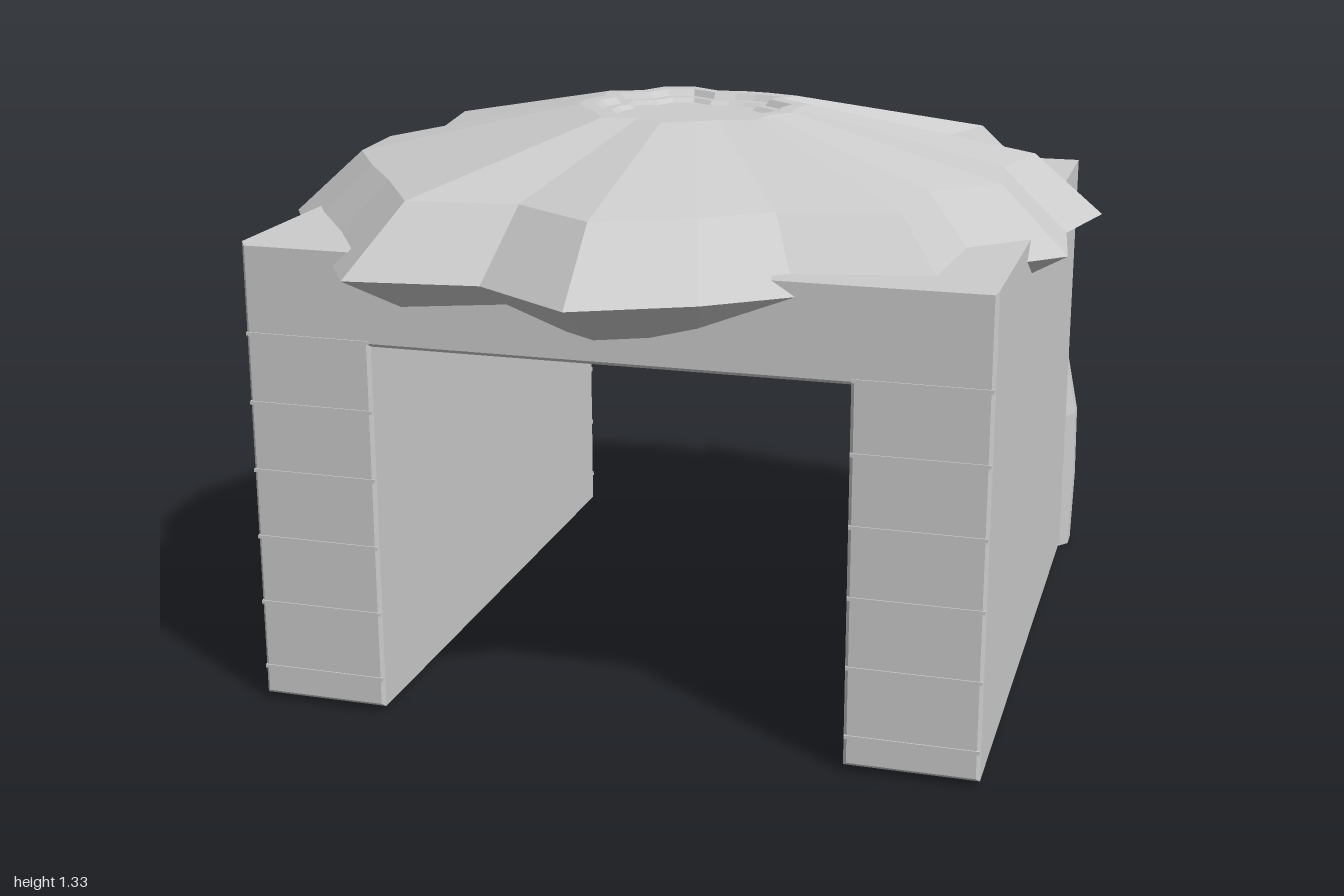
import * as THREE from 'three';

const material = new THREE.MeshStandardMaterial({ color: 0xcccccc, flatShading: true });

function add(parent, geometry, name, x = 0, y = 0, z = 0) {
  const mesh = new THREE.Mesh(geometry, material);
  mesh.name = name;
  mesh.position.set(x, y, z);
  parent.add(mesh);
  return mesh;
}

// Skin a list of closed rings (arrays of Vector3, same length) into a flat-shaded surface
function loft(rings) {
  const pos = [];
  const push = (...vs) => vs.forEach((v) => pos.push(v.x, v.y, v.z));
  const n = rings[0].length;
  for (let k = 0; k < rings.length - 1; k++) {
    for (let i = 0; i < n; i++) {
      const j = (i + 1) % n, a = rings[k], b = rings[k + 1];
      push(a[i], a[j], b[j], a[i], b[j], b[i]);
    }
  }
  const g = new THREE.BufferGeometry();
  g.setAttribute('position', new THREE.Float32BufferAttribute(pos, 3));
  g.computeVertexNormals();
  return g;
}

// Gateway: two thick walls joined by a roof slab, with slightly bevelled edges
function gateway() {
  const b = 0.008;
  const outline = [[-0.83, 0.015], [-0.53, 0.015], [-0.53, 0.88], [0.55, 0.88],
    [0.55, 0.015], [0.85, 0.015], [0.85, 1.1], [-0.83, 1.1]];
  const shape = new THREE.Shape(outline.map(([x, y]) => new THREE.Vector2(x, y)));
  const g = new THREE.ExtrudeGeometry(shape, {
    depth: 1.53 - 2 * b, bevelSize: b, bevelOffset: -b, bevelThickness: b, bevelSegments: 1,
  });
  return g.translate(0, 0, -0.79 + b);
}

// Ragged canopy rim, x and z, running from the front round by +x
const rim = [
  [0.01, 0.99], [0.26, 0.87], [0.43, 0.74], [0.74, 0.67], [0.76, 0.375], [0.93, 0.21],
  [0.9, -0.04], [0.96, -0.28], [0.67, -0.53], [0.74, -0.73], [0.46, -0.83], [0.24, -0.86],
  [0.01, -0.83], [-0.26, -1.0], [-0.53, -0.93], [-0.65, -0.67], [-0.93, -0.55], [-0.88, -0.25],
  [-0.97, -0.04], [-0.95, 0.21], [-0.83, 0.41], [-0.69, 0.61], [-0.53, 0.87], [-0.23, 0.83],
];

// Canopy rings: [scale of the rim, height], from the underside up to the sunken crown
const canopyLevels = [[0, 0.95], [0.8, 0.95], [1, 1.06], [0.83, 1.21], [0.28, 1.33],
  [0.24, 1.33], [0.225, 1.315], [0.2, 1.315], [0.185, 1.305], [0, 1.305]];

function canopy() {
  return loft(canopyLevels.map(([s, y]) =>
    rim.map(([x, z]) => new THREE.Vector3(x * s, y, z * s))));
}

// Tusk: [x, y, z, radius] along a path that leans towards the middle
const tuskPath = [[0.775, 0, -0.845, 0.1], [0.79, 0.2, -0.843, 0.09], [0.797, 0.38, -0.838, 0.08],
  [0.765, 0.6, -0.83, 0.068], [0.68, 0.84, -0.822, 0.053], [0.58, 1.02, -0.817, 0.039],
  [0.475, 1.165, -0.815, 0.024]];

function tusk(side) {
  const centres = tuskPath.map(([x, y, z]) => new THREE.Vector3(x * side, y, z));
  const rings = [];
  centres.forEach((c, k) => {
    const dir = centres[Math.min(k + 1, centres.length - 1)].clone()
      .sub(centres[Math.max(k - 1, 0)]).normalize();
    if (k === 0) dir.set(0, 1, 0);
    const across = new THREE.Vector3(dir.y, -dir.x, 0).normalize();
    const r = tuskPath[k][3];
    rings.push(Array.from({ length: 10 }, (_, i) => {
      const t = (i / 10) * Math.PI * 2;
      return c.clone().addScaledVector(across, Math.sin(t) * r)
        .add(new THREE.Vector3(0, 0, Math.cos(t) * r * 0.92));
    }));
  });
  // close both ends
  rings.unshift(rings[0].map(() => centres[0]));
  rings.push(rings[0].map(() => centres[centres.length - 1]));
  return loft(rings);
}

export function createModel() {
  const model = new THREE.Group();
  model.name = 'gatehouse';
  add(model, gateway(), 'gateway');
  add(model, canopy(), 'canopy');

  for (const side of [1, -1]) {
    const label = side > 0 ? 'left' : 'right';
    add(model, tusk(side), label + 'Tusk');

    // Thin courses across the wall ends, with an upright seam at the back
    const courses = new THREE.Group();
    courses.name = label + 'Courses';
    const x = 0.01 + side * 0.69;
    for (let i = 0; i < 6; i++) {
      const y = 0.085 + i * 0.161;
      add(courses, new THREE.BoxGeometry(0.296, 0.008, 0.01), 'frontCourse', x, y, 0.738);
      add(courses, new THREE.BoxGeometry(0.296, 0.012, 0.014), 'backCourse', x, y, -0.79);
    }
    add(courses, new THREE.BoxGeometry(0.012, 0.86, 0.014), 'backSeam', 0.01 + side * 0.62, 0.47, -0.79);
    model.add(courses);
  }
  return model;
}
